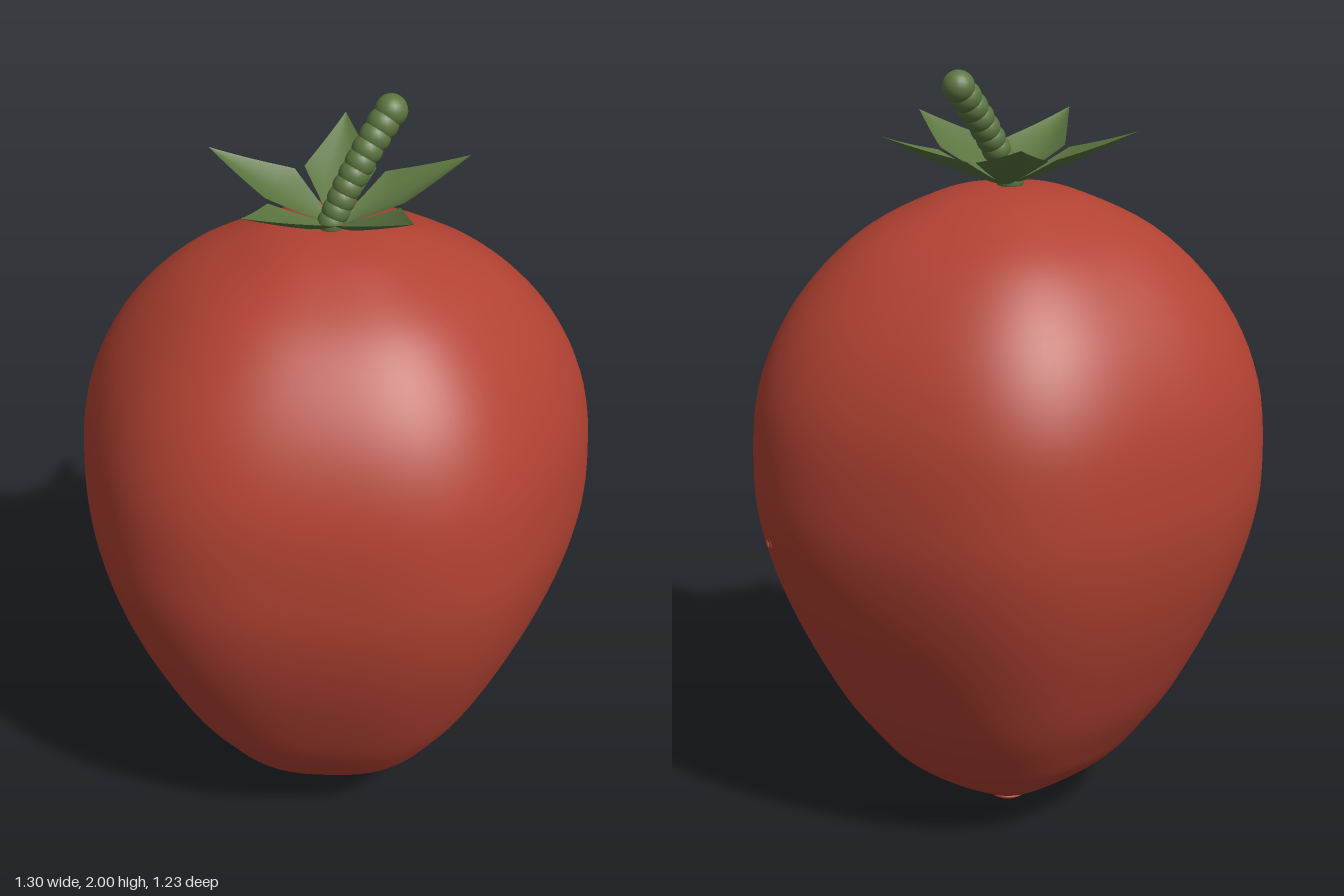
import * as THREE from 'three';
import { mergeVertices } from 'three/addons/utils/BufferGeometryUtils.js';

const red = new THREE.MeshStandardMaterial({ color: 0xb24232 });
red.name = 'berryRed';
const green = new THREE.MeshStandardMaterial({ color: 0x5c7540, side: THREE.DoubleSide });
green.name = 'leafGreen';

const AXIS_X = -0.015;

// Berry: a turned profile whose radius is pressed into a soft five-sided outline
function makeBody() {
  const profile = new THREE.SplineCurve([
    [0, 0.008], [0.07, 0.018], [0.28, 0.095], [0.45, 0.18], [0.56, 0.265], [0.71, 0.413],
    [0.88, 0.65], [0.975, 0.85], [1, 1.02], [0.965, 1.23], [0.83, 1.42],
    [0.6, 1.577], [0.32, 1.67], [0.14, 1.7], [0, 1.705],
  ].map(([r, y]) => new THREE.Vector2(r, y)));
  const points = profile.getPoints(72).map((p) => new THREE.Vector2(Math.max(p.x, 0), p.y));
  let geo = new THREE.LatheGeometry(points, 96);
  const pos = geo.attributes.position;
  for (let i = 0; i < pos.count; i++) {
    const x = pos.getX(i), z = pos.getZ(i);
    const a = Math.atan2(z, x);
    const s = 0.63 + 0.02 * Math.cos(2 * a) + 0.016 * Math.cos(5 * a);
    pos.setX(i, x * s + AXIS_X);
    pos.setZ(i, z * s);
  }
  geo.deleteAttribute('uv');
  geo.deleteAttribute('normal');
  geo = mergeVertices(geo, 1e-5);
  geo.computeVertexNormals();
  return geo;
}

// Leaf along +x: rows of five points, folded up along the midrib
function makeLeaf() {
  const rows = 12, cols = 4, verts = [], index = [];
  for (let i = 0; i <= rows; i++) {
    const t = i / rows;
    const r = 0.01 + 0.32 * t;
    const wide = t < 0.42 ? 0.012 + 0.076 * (t / 0.42) : 0.088 * (1 - t) / 0.58;
    const mid = 1.705 + 0.11 * t + 0.035 * t * t;
    for (let j = 0; j <= cols; j++) {
      const u = (j / cols) * 2 - 1;
      verts.push(r, mid + 0.36 * wide * u * u, u * wide);
    }
  }
  const w = cols + 1;
  for (let i = 0; i < rows; i++) {
    for (let j = 0; j < cols; j++) {
      const a = i * w + j, b = a + 1, c = a + w, d = c + 1;
      index.push(a, b, c, b, d, c);
    }
  }
  const geo = new THREE.BufferGeometry();
  geo.setAttribute('position', new THREE.Float32BufferAttribute(verts, 3));
  geo.setIndex(index);
  geo.computeVertexNormals();
  return geo;
}

export function createModel() {
  const model = new THREE.Group();
  model.name = 'berry';
  const add = (name, geo, mat, parent = model) => {
    const mesh = new THREE.Mesh(geo, mat);
    mesh.name = name;
    parent.add(mesh);
    return mesh;
  };

  add('body', makeBody(), red);

  // Small button under the tip
  const button = add('bottomButton', new THREE.SphereGeometry(0.05, 24, 12), red);
  button.scale.y = 0.28;
  button.position.set(AXIS_X, 0.014, 0);

  // Tiny blemish on the side
  const blemish = add('sideBlemish', new THREE.TorusGeometry(0.015, 0.006, 8, 16), red);
  blemish.position.set(0.633, 0.86, 0);
  blemish.rotation.y = Math.PI / 2;

  // Crown of five leaves
  const crown = new THREE.Group();
  crown.name = 'leafCrown';
  crown.position.x = -0.008;
  model.add(crown);
  const leafGeo = makeLeaf();
  for (let i = 0; i < 5; i++) {
    add('leaf', leafGeo, green, crown).rotation.y = (i * Math.PI * 2) / 5;
  }

  // Beaded stem leaning to the side and back
  const stem = new THREE.Group();
  stem.name = 'stem';
  model.add(stem);
  const path = new THREE.QuadraticBezierCurve3(
    new THREE.Vector3(-0.02, 1.715, 0),
    new THREE.Vector3(0.035, 1.84, -0.01),
    new THREE.Vector3(0.137, 1.961, -0.05),
  );
  const beads = 10;
  for (let i = 0; i < beads; i++) {
    const t = i / (beads - 1);
    const bead = add('stemBead', new THREE.SphereGeometry(0.034 + 0.006 * t, 20, 14), green, stem);
    bead.position.copy(path.getPoint(t));
  }
  return model;
}
